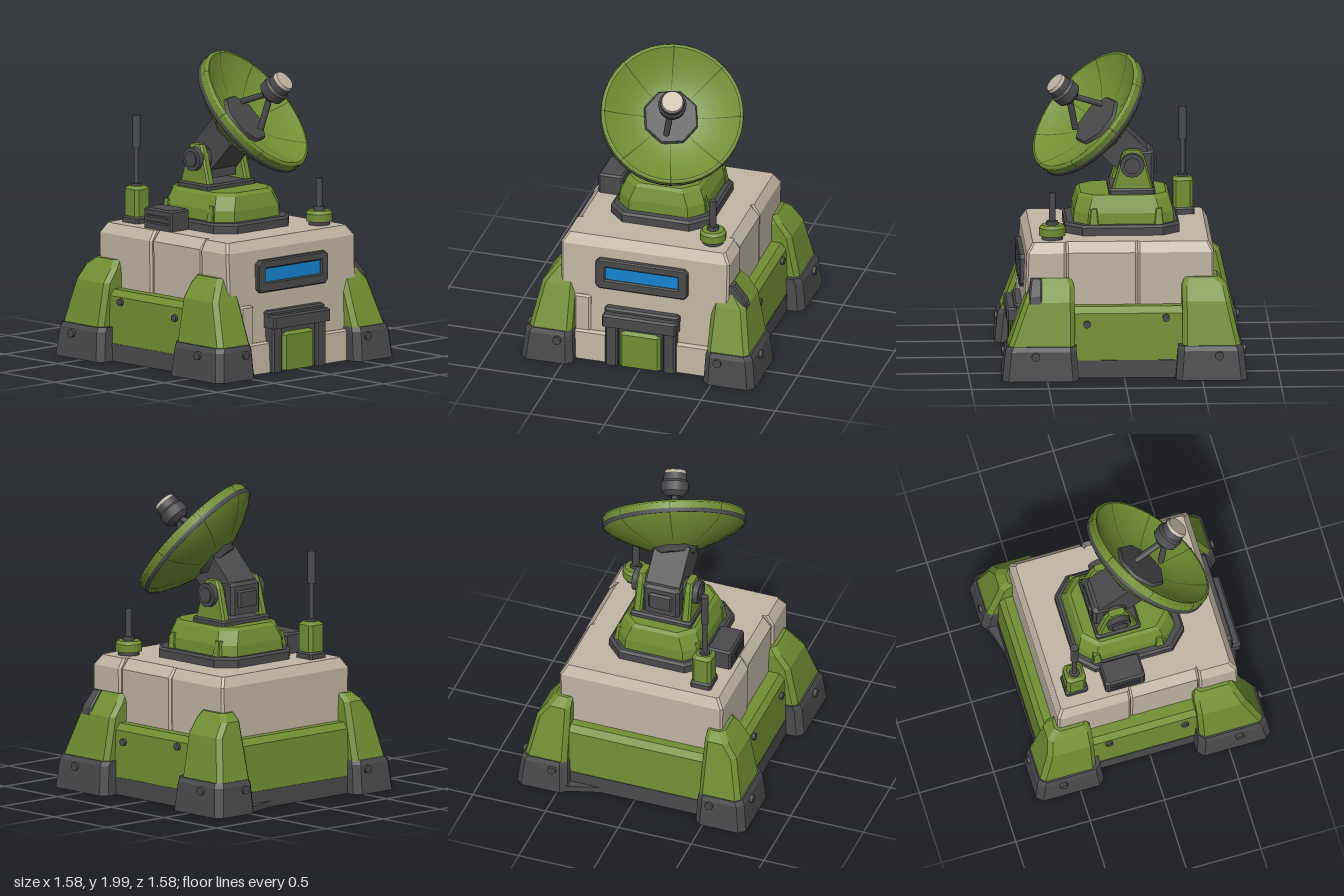
import * as THREE from 'three';

const material = (name, color, side = THREE.FrontSide) => {
  const m = new THREE.MeshStandardMaterial({ color, side });
  m.name = name;
  return m;
};

export function createModel() {
  const model = new THREE.Group();
  model.name = 'radarStation';
  const green = material('olive green', 0x718f33, THREE.DoubleSide);
  const seam = material('seam green', 0x46561f, THREE.DoubleSide);
  const dark = material('dark grey', 0x4a4a4c, THREE.DoubleSide);
  const beige = material('warm beige', 0xc2b6a4);
  const blue = material('window blue', 0x1585d2);

  const add = (name, geometry, mat, parent = model) => {
    const mesh = new THREE.Mesh(geometry, mat);
    mesh.name = name;
    parent.add(mesh);
    return mesh;
  };

  // Stacked chamfered rectangles: each level is [y, xa, xb, za, zb]
  const block = (name, mat, levels, c = 0.02) => {
    const rings = levels.map(([y, xa, xb, za, zb]) => {
      const x0 = Math.min(xa, xb), x1 = Math.max(xa, xb);
      const z0 = Math.min(za, zb), z1 = Math.max(za, zb);
      return [[x1, z1 - c], [x1, z0 + c], [x1 - c, z0], [x0 + c, z0],
        [x0, z0 + c], [x0, z1 - c], [x0 + c, z1], [x1 - c, z1]].map(([x, z]) => [x, y, z]);
    });
    const p = [];
    const tri = (...v) => v.forEach(q => p.push(...q));
    for (let k = 0; k < rings.length - 1; k++) {
      const a = rings[k], b = rings[k + 1];
      for (let i = 0; i < 8; i++) {
        const j = (i + 1) % 8;
        tri(a[i], a[j], b[j]);
        tri(a[i], b[j], b[i]);
      }
    }
    const low = rings[0], top = rings[rings.length - 1];
    for (let i = 1; i < 7; i++) {
      tri(top[0], top[i], top[i + 1]);
      tri(low[0], low[i + 1], low[i]);
    }
    const g = new THREE.BufferGeometry();
    g.setAttribute('position', new THREE.Float32BufferAttribute(p, 3));
    g.computeVertexNormals();
    return add(name, g, mat);
  };

  // Box given by its extents, with a small top bevel
  const slab = (name, mat, x0, x1, y0, y1, z0, z1, b = 0.012) => block(name, mat, [
    [y0, x0, x1, z0, z1], [y1 - b, x0, x1, z0, z1], [y1, x0 + b, x1 - b, z0 + b, z1 - b]], b);

  // Round bar between two points
  const up = new THREE.Vector3(0, 1, 0);
  const bar = (name, mat, a, b, r0, r1 = r0, sides = 12) => {
    const A = new THREE.Vector3(...a), B = new THREE.Vector3(...b);
    const d = B.clone().sub(A);
    const m = add(name, new THREE.CylinderGeometry(r1, r0, d.length(), sides), mat);
    m.position.copy(A).addScaledVector(d, 0.5);
    m.quaternion.setFromUnitVectors(up, d.normalize());
    return m;
  };

  // Hull in three sections with narrow seams between them
  for (const [x0, x1, z0, z1, f, k, t] of [
    [-0.56, 0.56, -0.585, -0.092, 0, 0.035, 0.04],
    [-0.55, 0.565, -0.092, 0.37, 0, 0, 0.055],
    [-0.56, 0.575, 0.37, 0.625, 0.025, 0, 0.04]]) {
    const zt = z1 > 0.5 ? 0.585 : z1;
    block('hullSection', beige, [[0.02, x0 + 0.01, x1 - 0.01, z0, z1 + f], [0.8, x0, x1, z0, z1],
      [0.865, x0 + t, x1 - t, z0 + k, zt]], 0.014);
  }
  block('frontSill', beige, [[0, -0.5, 0.5, 0.5, 0.685], [0.19, -0.5, 0.5, 0.5, 0.675],
    [0.2, -0.5, 0.5, 0.5, 0.66]]);
  slab('frontPanel', beige, -0.46, -0.35, 0.2, 0.45, 0.6, 0.655);

  // Lower armour and dark skirt
  slab('bottomPlate', dark, -0.66, 0.66, 0, 0.08, -0.68, 0.62);
  for (const s of [-1, 1]) {
    block('sideSkirt', dark, [[0, s * 0.5, s * 0.675, -0.6, 0.5], [0.115, s * 0.5, s * 0.672, -0.6, 0.5]]);
    block('sideArmour', green, [[0.11, s * 0.5, s * 0.668, -0.6, 0.5], [0.42, s * 0.5, s * 0.655, -0.6, 0.5],
      [0.46, s * 0.5, s * 0.62, -0.6, 0.5]]);
    for (const [y, z] of [[0.35, 0.24], [0.39, -0.27]])
      bar('armourBolt', dark, [s * 0.63, y, z], [s * 0.676, y, z], 0.024);
  }
  block('rearSkirt', dark, [[0, -0.6, 0.6, -0.5, -0.695], [0.115, -0.6, 0.6, -0.5, -0.692]]);
  block('rearArmour', green, [[0.11, -0.6, 0.6, -0.5, -0.688], [0.42, -0.6, 0.6, -0.5, -0.675],
    [0.46, -0.6, 0.6, -0.5, -0.64]]);
  const wedge = new THREE.Shape([[0.19, 0.68], [0.5, 0.68], [0.5, 0.775]].map(q => new THREE.Vector2(...q)));
  add('rearWedge', new THREE.ExtrudeGeometry(wedge, { depth: 0.04, bevelEnabled: false }), dark)
    .rotation.x = -Math.PI / 2;

  // Corner buttresses on dark feet
  for (const sx of [-1, 1]) for (const sz of [-1, 1]) {
    const front = sz > 0, inner = sz * (front ? 0.31 : 0.345);
    const level = (y, x0, x1, z0, z1) => [y, sx * x0, sx * x1, z0, sz * z1];
    block('cornerFoot', dark, [level(0, 0.44, 0.785, inner - sz * 0.015, 0.79),
      level(0.19, 0.448, 0.765, inner, 0.77), level(0.22, 0.455, 0.75, inner, 0.757)], 0.04);
    const zi = front ? 0.32 : -0.375;
    block('cornerButtress', green, [level(0.2, 0.455, 0.742, zi, 0.755),
      level(0.5, 0.46, 0.685, zi, front ? 0.645 : 0.685),
      level(0.59, 0.462, 0.62, zi, front ? 0.605 : 0.665),
      level(0.64, 0.465, 0.58, zi + sz * 0.02, front ? 0.58 : 0.605)], 0.03);
    const zb = sz * (front ? 0.575 : 0.61);
    bar('footBolt', dark, [sx * 0.75, 0.16, zb], [sx * 0.788, 0.16, zb], 0.028);
    bar('footBolt', dark, [sx * 0.54, 0.16, sz * 0.75], [sx * 0.54, 0.16, sz * 0.788], 0.028);
  }
  block('cornerBracket', dark, [[0.49, 0.56, 0.69, 0.53, 0.615], [0.54, 0.56, 0.68, 0.53, 0.615],
    [0.64, 0.56, 0.6, 0.53, 0.6]], 0.01);

  // Doorway
  for (const s of [-1, 1]) slab('doorPost', dark, s * 0.195 - 0.042, s * 0.195 + 0.042, 0, 0.3, 0.62, 0.715);
  slab('doorRecess', dark, -0.16, 0.16, 0, 0.3, 0.62, 0.692);
  slab('doorLintel', dark, -0.25, 0.25, 0.29, 0.375, 0.62, 0.742);
  slab('lintelCap', dark, -0.25, 0.25, 0.36, 0.4, 0.62, 0.69);
  slab('door', green, -0.14, 0.135, 0.005, 0.255, 0.64, 0.715, 0.02);

  // Front window
  const rect = (S, x0, x1, y0, y1, c) => new S([[x0 + c, y0], [x1 - c, y0], [x1, y0 + c], [x1, y1 - c],
    [x1 - c, y1], [x0 + c, y1], [x0, y1 - c], [x0, y0 + c]].map(q => new THREE.Vector2(...q)));
  const frame = rect(THREE.Shape, -0.31, 0.295, 0.53, 0.725, 0.02);
  frame.holes.push(rect(THREE.Path, -0.258, 0.247, 0.58, 0.685, 0.004));
  add('windowFrame', new THREE.ExtrudeGeometry(frame, { depth: 0.045, bevelSize: 0.008, bevelThickness: 0.008,
    bevelSegments: 1 }), dark).position.z = 0.61;
  add('windowGlass', new THREE.BoxGeometry(0.52, 0.12, 0.009), blue).position.set(-0.005, 0.632, 0.643);

  // Turret base and yoke
  block('turretPlate', dark, [[0.85, -0.335, 0.335, -0.375, 0.365], [0.915, -0.335, 0.335, -0.375, 0.365],
    [0.93, -0.32, 0.32, -0.36, 0.35]], 0.11);
  block('turretBase', green, [[0.92, -0.29, 0.29, -0.34, 0.31], [1.0, -0.285, 0.285, -0.335, 0.305],
    [1.09, -0.25, 0.25, -0.31, 0.28], [1.11, -0.23, 0.23, -0.29, 0.26]], 0.09);
  for (const s of [-1, 1]) for (const z of [0.18, -0.24])
    block('baseRib', green, [[0.93, s * 0.24, s * 0.302, z - 0.03, z + 0.03],
      [1.03, s * 0.24, s * 0.285, z - 0.02, z + 0.02]], 0.005);
  slab('yokePlate', dark, -0.21, 0.21, 1.1, 1.145, -0.22, 0.08);
  for (const s of [-1, 1]) block('yokeArm', green, [[1.1, s * 0.135, s * 0.2, -0.21, 0.07],
    [1.16, s * 0.135, s * 0.195, -0.2, 0.055], [1.35, s * 0.135, s * 0.19, -0.15, 0.0],
    [1.395, s * 0.14, s * 0.185, -0.125, -0.02]], 0.012);
  bar('pivot', dark, [-0.225, 1.3, -0.07], [0.225, 1.3, -0.07], 0.078, 0.078, 16);
  bar('pivotCap', dark, [-0.235, 1.3, -0.07], [0.235, 1.3, -0.07], 0.052, 0.052, 16);
  slab('counterweight', dark, -0.125, 0.125, 1.17, 1.38, -0.215, 0.0, 0.02);
  slab('counterweightLid', dark, -0.08, 0.08, 1.22, 1.33, -0.232, -0.1);
  const neck = add('neck', new THREE.BoxGeometry(0.23, 0.3, 0.23), dark);
  neck.position.set(0, 1.385, -0.005);
  neck.rotation.x = Math.PI / 4;

  // Dish, turned about its own axis
  const axis = new THREE.Vector3(0.3, 0.65, 0.7).normalize();
  const dish = new THREE.Group();
  dish.name = 'dish';
  dish.position.set(0.075, 1.64, 0.236);
  dish.quaternion.setFromUnitVectors(up, axis);
  model.add(dish);
  const lathe = (name, mat, pts, start = 0, sweep = Math.PI * 2, n = 40) => add(name,
    new THREE.LatheGeometry(pts.map(q => new THREE.Vector2(...q)), n, start, sweep), mat, dish);
  const bowl = [[0.001, -0.14], [0.17, -0.13], [0.27, -0.1], [0.37, -0.05], [0.44, 0]];
  const back = [[0.12, -0.24], [0.2, -0.215], [0.32, -0.165], [0.41, -0.115], [0.452, -0.08]];
  lathe('dishBowl', green, bowl);
  lathe('dishLip', green, [[0.462, -0.015], [0.455, 0], [0.44, 0]]);
  lathe('dishRim', green, [[0.458, -0.055], [0.462, -0.015]]);
  lathe('dishBand', dark, [[0.452, -0.082], [0.461, -0.08], [0.463, -0.055], [0.458, -0.053]]);
  lathe('dishBack', green, back);
  for (let i = 0; i < 8; i++) {
    const a = i * Math.PI / 4 + 0.3;
    lathe('bowlSeam', seam, bowl.slice(1).map(([r, y]) => [r, y + 0.003]), a, 0.018, 1);
    lathe('rimSeam', seam, [[0.461, -0.055], [0.465, -0.015], [0.457, 0.003], [0.44, 0.003]], a, 0.018, 1);
    lathe('backSeam', seam, back.slice(1).map(([r, y]) => [r + 0.001, y - 0.003]), a, 0.018, 1);
  }
  const hub = add('dishHub', new THREE.CylinderGeometry(0.175, 0.19, 0.03, 8), dark, dish);
  hub.position.y = -0.122;
  const socket = add('dishSocket', new THREE.CylinderGeometry(0.17, 0.13, 0.06, 8), dark, dish);
  socket.position.y = -0.24;

  // Feed horn on two struts
  bar('feedStrut', dark, [0.05, 1.51, 0.29], [0.1, 1.745, 0.335], 0.021, 0.021, 8);
  bar('feedStrut', dark, [0.045, 1.67, 0.12], [0.1, 1.745, 0.33], 0.021, 0.021, 8);
  const horn = [[-0.045, 0.05], [-0.015, 0.088], [0.045, 0.092], [0.06, 0.078], [0.105, 0.074], [0.125, 0.068]];
  const along = d => [0.106 + d * 0.22, 1.752 + d * 0.68, 0.342 + d * 0.7];
  for (let i = 0; i < horn.length - 1; i++) bar(i < 4 ? 'feedHorn' : 'feedTip', i < 4 ? dark : beige,
    along(horn[i][0]), along(horn[i + 1][0]), horn[i][1], horn[i + 1][1], 16);

  // Tall rear antenna
  slab('antennaFoot', dark, -0.445, -0.305, 0.85, 0.91, -0.495, -0.345);
  slab('antennaBox', green, -0.44, -0.31, 0.91, 1.105, -0.485, -0.355, 0.02);
  bar('antennaCollar', dark, [-0.38, 1.09, -0.42], [-0.38, 1.12, -0.42], 0.035);
  bar('antennaRod', dark, [-0.38, 1.1, -0.42], [-0.38, 1.36, -0.42], 0.017);
  bar('antennaTip', dark, [-0.38, 1.35, -0.42], [-0.38, 1.565, -0.42], 0.026);

  // Short front antenna
  bar('shortFoot', dark, [0.415, 0.85, 0.455], [0.415, 0.9, 0.455], 0.07);
  bar('shortBase', green, [0.415, 0.89, 0.455], [0.415, 0.94, 0.455], 0.086, 0.086, 16);
  bar('shortBaseTop', green, [0.415, 0.94, 0.455], [0.415, 0.96, 0.455], 0.086, 0.07, 16);
  bar('shortCollar', dark, [0.415, 0.95, 0.455], [0.415, 0.985, 0.455], 0.042, 0.038, 6);
  bar('shortRod', dark, [0.415, 0.98, 0.455], [0.415, 1.17, 0.455], 0.022);

  // Roof vent box
  slab('ventBox', dark, -0.49, -0.325, 0.85, 1.0, -0.24, 0.025);
  for (const y of [0.9, 0.94]) slab('ventLouvre', dark, -0.497, -0.4, y, y + 0.018, -0.21, -0.005, 0.004);
  return model;
}
